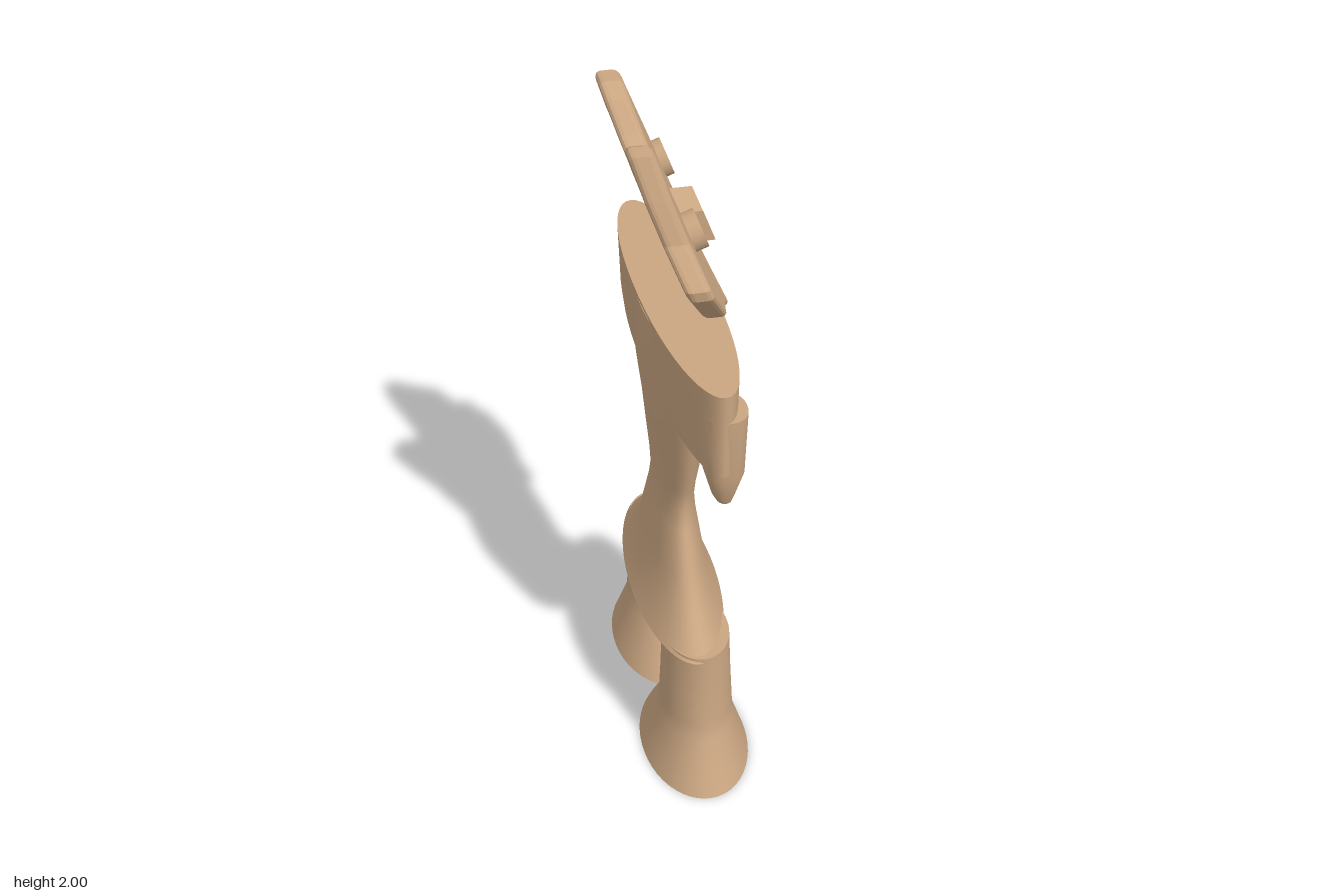
import * as THREE from 'three';

const material = new THREE.MeshStandardMaterial({ color: 0xc9a581, roughness: 0.8 });

function add(parent, name, geometry) {
  const mesh = new THREE.Mesh(geometry, material);
  mesh.name = name;
  parent.add(mesh);
  return mesh;
}

// Closed loft through horizontal rounded rings: rows of [y, xMin, xMax, zMin, zMax]
function loft(rows, power = 2, skew = 0, sides = 48) {
  const pos = [], idx = [];
  const round = (v) => Math.sign(v) * Math.abs(v) ** (2 / power);
  const ring = ([y, x0, x1, z0, z1]) => {
    for (let j = 0; j < sides; j++) {
      const t = (j / sides) * Math.PI * 2;
      const z = (z0 + z1) / 2 + round(Math.sin(t)) * (z1 - z0) / 2;
      pos.push((x0 + x1) / 2 + round(Math.cos(t)) * (x1 - x0) / 2 + skew * z, y, z);
    }
  };
  rows.forEach(ring);
  for (let i = 0; i < rows.length - 1; i++) {
    for (let j = 0; j < sides; j++) {
      const a = i * sides + j, b = i * sides + (j + 1) % sides;
      idx.push(a, a + sides, b, b, a + sides, b + sides);
    }
  }
  // Caps have their own vertices so the rims stay sharp
  [rows[0], rows[rows.length - 1]].forEach((row, top) => {
    const start = pos.length / 3;
    ring(row);
    for (let j = 1; j < sides - 1; j++) {
      if (top) idx.push(start, start + j + 1, start + j);
      else idx.push(start, start + j, start + j + 1);
    }
  });
  const g = new THREE.BufferGeometry();
  g.setAttribute('position', new THREE.Float32BufferAttribute(pos, 3));
  g.setIndex(idx);
  g.computeVertexNormals();
  return g;
}

// Outline of [z, y] points, extruded towards +x
function plate(points, depth, bevel) {
  const shape = new THREE.Shape(points.map(([z, y]) => new THREE.Vector2(-z, y)));
  const g = new THREE.ExtrudeGeometry(shape, {
    depth: depth - 2 * bevel, bevelEnabled: bevel > 0, bevelThickness: bevel,
    bevelSize: bevel, bevelOffset: -bevel, bevelSegments: 3,
  });
  return g.translate(0, 0, bevel - depth / 2).rotateY(Math.PI / 2);
}

// Shift every vertex in x by a rule of its height
function lean(g, rule) {
  const p = g.attributes.position;
  for (let i = 0; i < p.count; i++) p.setX(i, p.getX(i) + rule(p.getY(i)));
  g.computeVertexNormals();
  return g;
}

export function createModel() {
  const model = new THREE.Group();
  model.name = 'figure';

  // Legs flaring into wide feet
  const legRows = [
    [0, -0.163, 0.16, -0.015, 0.487], [0.04, -0.15, 0.147, 0.008, 0.467],
    [0.16, -0.11, 0.11, 0.085, 0.408], [0.22, -0.107, 0.106, 0.105, 0.4],
    [0.34, -0.102, 0.1, 0.118, 0.388], [0.48, -0.098, 0.095, 0.11, 0.385],
  ];
  add(model, 'leftLeg', loft(legRows.map(([y, a, b, c, d]) => [y, a, b, -d, -c])));
  add(model, 'rightLeg', loft(legRows));

  // Torso: skirt, narrow waist, widening chest
  add(model, 'torso', loft([
    [0.465, -0.15, 0.115, -0.39, 0.387], [0.56, -0.11, 0.077, -0.28, 0.28],
    [0.66, -0.095, 0.06, -0.23, 0.23], [0.78, -0.077, 0.043, -0.175, 0.17],
    [0.85, -0.07, 0.038, -0.158, 0.155], [0.92, -0.073, 0.043, -0.175, 0.17],
    [1.0, -0.08, 0.052, -0.205, 0.2], [1.12, -0.09, 0.066, -0.24, 0.23],
    [1.24, -0.104, 0.08, -0.272, 0.262], [1.47, -0.108, 0.088, -0.32, 0.31],
  ]));

  // Flat-topped shoulder bar, slightly turned
  add(model, 'shoulders', loft([
    [1.23, -0.09, 0.075, -0.493, 0.495], [1.3, -0.1, 0.083, -0.494, 0.497],
    [1.482, -0.108, 0.09, -0.494, 0.498],
  ], 2.1, 0.045));

  // Short hanging forearms
  add(model, 'rightArm', loft([
    [1.1, 0.01, 0.055, 0.37, 0.445], [1.12, 0.0, 0.06, 0.365, 0.455],
    [1.21, -0.025, 0.08, 0.362, 0.49], [1.4, -0.03, 0.085, 0.362, 0.497],
  ], 2.3));
  add(model, 'leftArm', loft([
    [1.09, -0.035, 0.01, -0.44, -0.4], [1.11, -0.045, 0.015, -0.455, -0.396],
    [1.21, -0.07, 0.03, -0.487, -0.393], [1.4, -0.075, 0.035, -0.493, -0.38],
  ], 2.3));

  // Leaning head plate with two pointed ears
  const faceX = (y) => -0.13 + 0.28 * (2 - y) + 0.22 * (2 - y) ** 2;
  const head = new THREE.Group();
  head.name = 'head';
  model.add(head);
  add(head, 'face', lean(plate([
    [0.205, 2], [0.15, 2], [0.09, 1.97], [0.03, 1.89], [-0.03, 1.845], [-0.1, 1.9],
    [-0.16, 1.97], [-0.21, 2], [-0.275, 2], [-0.32, 1.89], [-0.367, 1.78], [-0.36, 1.75],
    [-0.32, 1.64], [-0.29, 1.51], [-0.21, 1.485], [-0.12, 1.44], [-0.03, 1.395], [0.05, 1.45],
    [0.19, 1.51], [0.32, 1.65], [0.325, 1.68], [0.26, 1.78], [0.235, 1.89],
  ].reverse(), 0.068, 0.018), faceX));

  // Ring eyes standing off the face
  const disc = new THREE.Shape().absarc(0, 0, 0.052, 0, Math.PI * 2);
  disc.holes.push(new THREE.Path().absarc(0, 0, 0.039, 0, Math.PI * 2, true));
  const eyeGeometry = new THREE.ExtrudeGeometry(disc, { depth: 0.035, bevelEnabled: false, curveSegments: 20 });
  eyeGeometry.rotateY(Math.PI / 2).rotateZ(0.36);
  [['leftEye', -0.23, -0.012], ['rightEye', 0.152, -0.006]].forEach(([name, z, x]) => {
    add(head, name, eyeGeometry).position.set(x, 1.748, z);
  });

  // Chevron beak
  add(head, 'beak', lean(plate([
    [0.025, 1.73], [0.025, 1.64], [-0.04, 1.6], [-0.105, 1.65], [-0.098, 1.735], [-0.037, 1.69],
  ], 0.09, 0), (y) => 0.028 + 0.38 * (1.7 - y)));

  return model;
}
